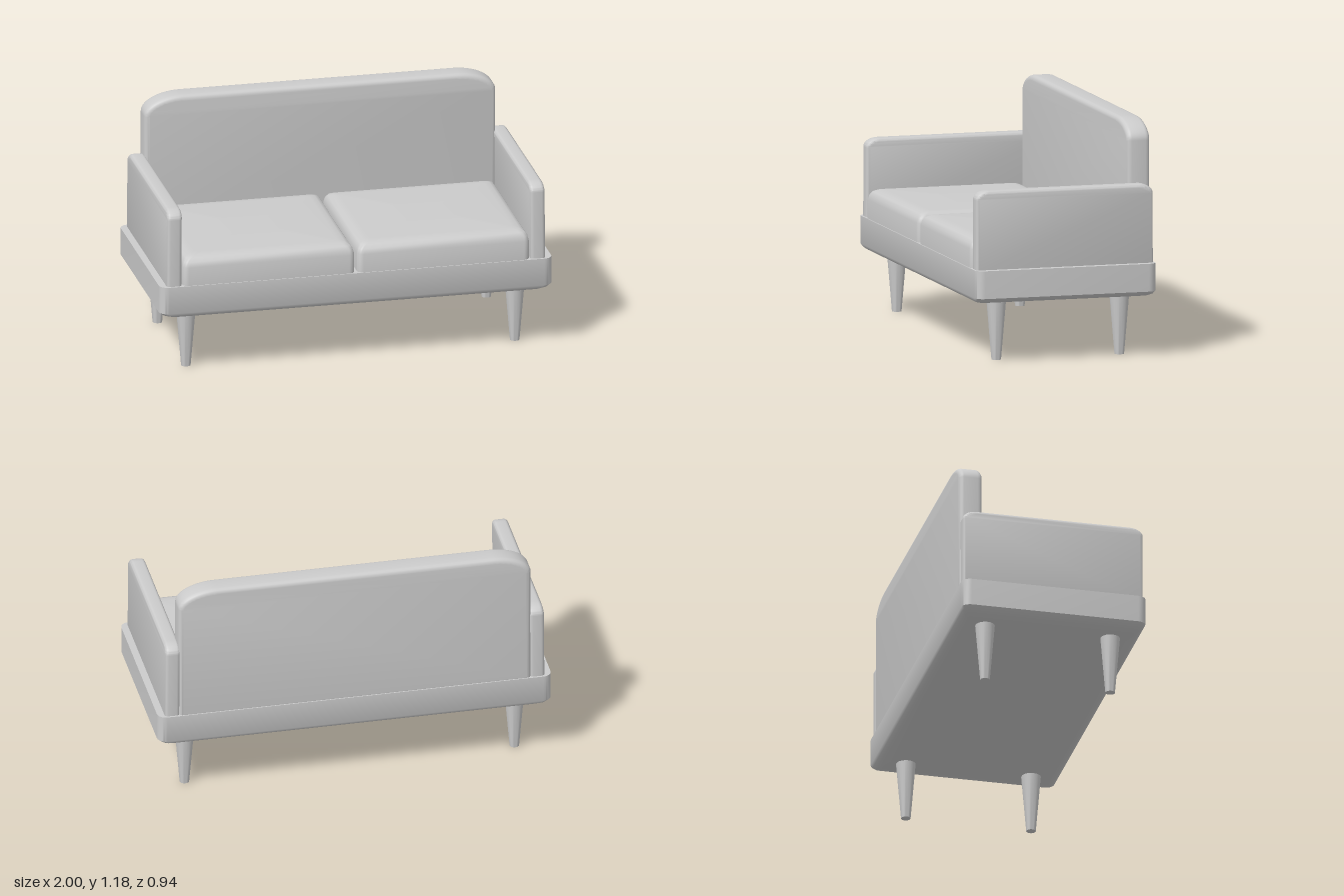
import * as THREE from 'three';
import { toCreasedNormals } from 'three/addons/utils/BufferGeometryUtils.js';

const material = new THREE.MeshStandardMaterial({ color: 0xcccccc });

function addMesh(group, name, geometry, x = 0, y = 0, z = 0) {
  const mesh = new THREE.Mesh(geometry, material);
  mesh.name = name;
  mesh.position.set(x, y, z);
  group.add(mesh);
  return mesh;
}

// Stack of rounded rectangles, each ring = [y, halfX, halfZ, cornerRadius], bottom to top
function loft(rings, steps = 6) {
  const positions = [], index = [], n = 4 * (steps + 1);
  for (const [y, hx, hz, r] of rings) {
    for (let q = 0; q < 4; q++) {
      const sx = q === 0 || q === 3 ? 1 : -1, sz = q < 2 ? -1 : 1;
      for (let s = 0; s <= steps; s++) {
        const a = (q + s / steps) * Math.PI / 2;
        positions.push(sx * (hx - r) + r * Math.cos(a), y, sz * (hz - r) - r * Math.sin(a));
      }
    }
  }
  const last = rings.length - 1, bottom = n * rings.length, top = bottom + 1;
  positions.push(0, rings[0][0], 0, 0, rings[last][0], 0);
  for (let j = 0; j < n; j++) {
    const k = (j + 1) % n;
    for (let i = 0; i < last; i++) {
      const a = i * n + j, b = i * n + k;
      index.push(a, b, b + n, a, b + n, a + n);
    }
    index.push(bottom, k, j, top, last * n + j, last * n + k);
  }
  const geometry = new THREE.BufferGeometry();
  geometry.setAttribute('position', new THREE.Float32BufferAttribute(positions, 3));
  geometry.setIndex(index);
  return toCreasedNormals(geometry, 0.75);
}

// Upright padded slab with elliptical upper corners and rolled edges
function slab(width, height, depth, rx, ry, bevel) {
  const w = width / 2;
  const shape = new THREE.Shape();
  shape.moveTo(-w, 0);
  shape.lineTo(w, 0);
  shape.lineTo(w, height - ry);
  shape.absellipse(w - rx, height - ry, rx, ry, 0, Math.PI / 2, false, 0);
  shape.lineTo(-w + rx, height);
  shape.absellipse(-w + rx, height - ry, rx, ry, Math.PI / 2, Math.PI, false, 0);
  shape.closePath();
  const geometry = new THREE.ExtrudeGeometry(shape, {
    depth: depth - 2 * bevel, bevelThickness: bevel, bevelSize: bevel,
    bevelOffset: -bevel, bevelSegments: 4, curveSegments: 10
  });
  geometry.translate(0, 0, bevel - depth / 2);
  return toCreasedNormals(geometry, 0.75);
}

export function createModel() {
  const sofa = new THREE.Group();
  sofa.name = 'sofa';

  // Base with a rounded underside
  addMesh(sofa, 'base', loft([
    [0.297, 0.91, 0.425, 0.03], [0.304, 0.95, 0.446, 0.035],
    [0.315, 0.98, 0.462, 0.04], [0.33, 1, 0.47, 0.045], [0.47, 1, 0.47, 0.045]
  ]));

  // Backrest
  addMesh(sofa, 'backrest', slab(1.79, 0.725, 0.12, 0.2, 0.1, 0.025), 0, 0.45, -0.405);

  for (const side of [-1, 1]) {
    const label = side > 0 ? 'left' : 'right';

    // Armrest, leaning inward slightly toward its top
    const arm = slab(0.92, 0.425, 0.076, 0.07, 0.045, 0.018);
    arm.rotateY(Math.PI / 2);
    const p = arm.attributes.position;
    for (let i = 0; i < p.count; i++) {
      const t = Math.max(0, p.getY(i) - 0.3) / 0.125;
      p.setX(i, p.getX(i) - side * 0.006 * t * t);
    }
    addMesh(sofa, label + 'Armrest', arm, side * 0.927, 0.44, 0);

    // Seat cushion with softened upper edges
    addMesh(sofa, label + 'SeatCushion', loft([
      [0, 0.438, 0.405, 0.03], [0.1, 0.438, 0.405, 0.03], [0.125, 0.432, 0.398, 0.03],
      [0.143, 0.42, 0.385, 0.03], [0.152, 0.4, 0.362, 0.03], [0.155, 0.37, 0.33, 0.03]
    ]), side * 0.445, 0.465, 0.06);

    // Tapered legs
    for (const end of [-1, 1]) {
      addMesh(sofa, label + (end > 0 ? 'Front' : 'Back') + 'Leg',
        toCreasedNormals(new THREE.CylinderGeometry(0.051, 0.024, 0.32, 20), 0.75),
        side * 0.838, 0.16, end * 0.32);
    }
  }
  return sofa;
}
